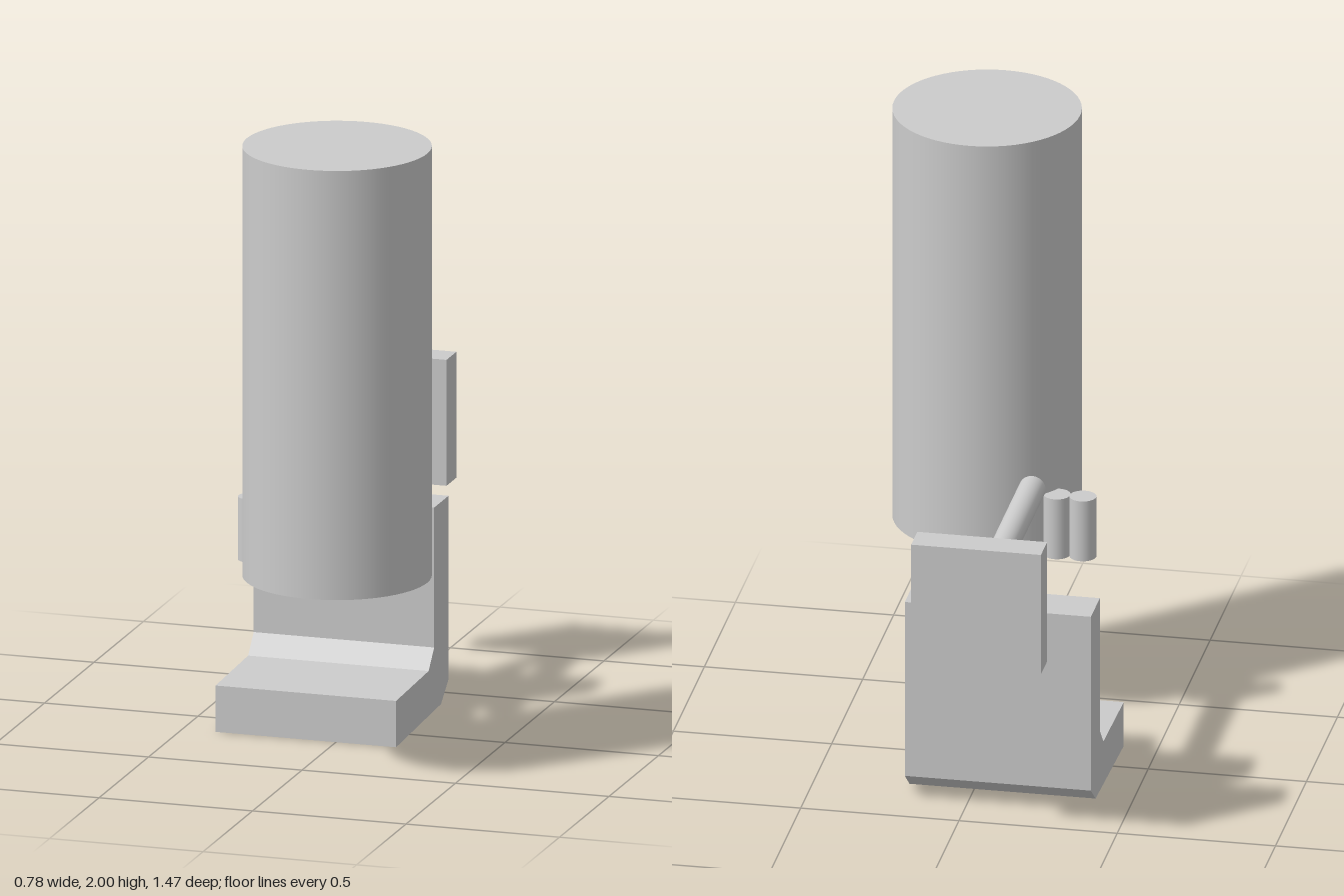
import * as THREE from 'three';

const material = new THREE.MeshStandardMaterial({ color: 0xcccccc });

function addMesh(group, name, geometry) {
  const mesh = new THREE.Mesh(geometry, material);
  mesh.name = name;
  group.add(mesh);
  return mesh;
}

// Round bar between two points
function addRod(group, name, from, to, radius, sides = 32) {
  const a = new THREE.Vector3(...from);
  const b = new THREE.Vector3(...to);
  const dir = b.clone().sub(a);
  const rod = addMesh(group, name, new THREE.CylinderGeometry(radius, radius, dir.length(), sides));
  rod.position.copy(a).add(b).multiplyScalar(0.5);
  rod.quaternion.setFromUnitVectors(new THREE.Vector3(0, 1, 0), dir.normalize());
}

export function createModel() {
  const model = new THREE.Group();
  model.name = 'cylinderMount';

  // Large upright cylinder
  addRod(model, 'mainCylinder', [0.095, 0.62, 0.44], [0.095, 2, 0.44], 0.294, 64);

  // Pair of short pegs beside the cylinder
  [-0.245, -0.163].forEach((x, i) => {
    addRod(model, `peg${i + 1}`, [x, 0.592, 0.25], [x, 0.795, 0.25], 0.042);
  });

  // Square back plate
  const plate = addMesh(model, 'backPlate', new THREE.BoxGeometry(0.41, 0.405, 0.1));
  plate.position.set(-0.1, 0.828, -0.685);

  // Level arm and slanted brace joining the plate to the other parts
  addRod(model, 'upperArm', [-0.098, 0.837, 0.185], [-0.098, 0.837, -0.637], 0.042);
  addRod(model, 'lowerBrace', [-0.112, 0.522, -0.326], [-0.06, 0.757, -0.675], 0.039);

  // L-shaped bracket: side profile as (z, y), extruded across x
  const profile = [
    [0.157, 0], [0.157, 0.149], [-0.172, 0.159], [-0.228, 0.22],
    [-0.228, 0.67], [-0.373, 0.67], [-0.373, 0.08], [-0.297, 0.02],
  ].map(([z, y]) => new THREE.Vector2(z, y));
  const bracket = new THREE.ExtrudeGeometry(new THREE.Shape(profile), { depth: 0.588, bevelEnabled: false });
  bracket.rotateY(-Math.PI / 2);
  bracket.translate(0.196, 0, 0);
  addMesh(model, 'bracket', bracket);

  return model;
}
